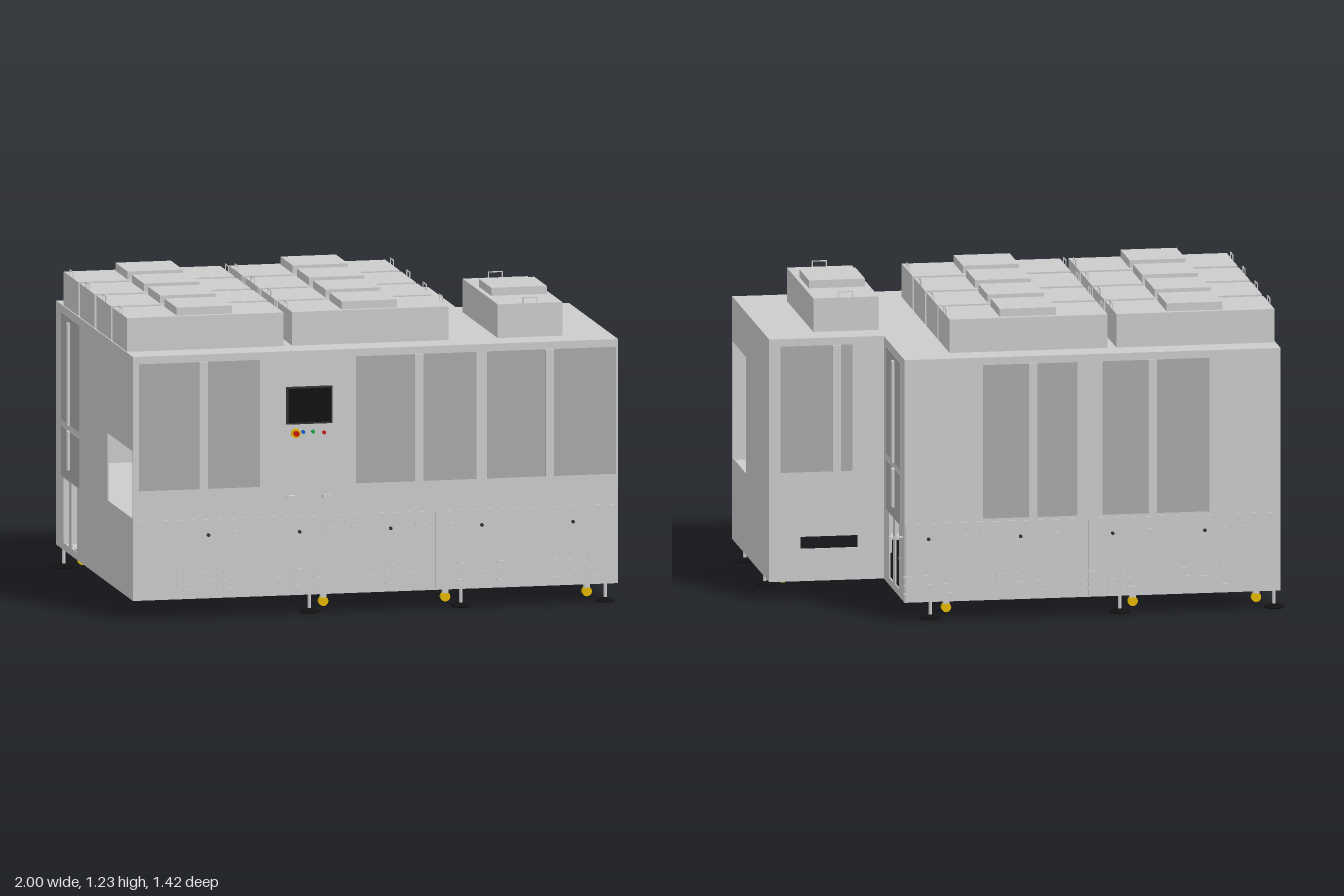
import * as THREE from 'three';

const mat = (color) => new THREE.MeshStandardMaterial({ color });
const grey = mat(0xcccccc), panelGrey = mat(0xaaaaaa), black = mat(0x111111), dark = mat(0x333333);
const yellow = mat(0xe6b800), red = mat(0xcc1111), green = mat(0x11aa44), blue = mat(0x1155cc);
const T = 0.006; // sheet thickness
const Y0 = 0.08, Y1 = 1.06, X0 = -0.975, X1 = 0.995, XS = 0.535, Z0 = -0.7, Z1 = 0.69, ZS = -0.2;

export function createModel() {
  const root = new THREE.Group();

  const add = (parent, name, geo, m, x = 0, y = 0, z = 0) => {
    const mesh = new THREE.Mesh(geo, m);
    mesh.name = name;
    mesh.position.set(x, y, z);
    parent.add(mesh);
    return mesh;
  };
  // Box given by its min and max on each axis
  const box = (name, x0, x1, y0, y1, z0, z1, m = grey, parent = root) =>
    add(parent, name, new THREE.BoxGeometry(x1 - x0, y1 - y0, z1 - z0), m,
      (x0 + x1) / 2, (y0 + y1) / 2, (z0 + z1) / 2);

  // Sheet with rectangular holes, each [u0, u1, v0, v1]
  const sheet = (u0, u1, v0, v1, holes = []) => {
    const rect = (P, a, b, c, d) => {
      const p = new P();
      p.moveTo(a, c); p.lineTo(b, c); p.lineTo(b, d); p.lineTo(a, d); p.closePath();
      return p;
    };
    const s = rect(THREE.Shape, u0, u1, v0, v1);
    for (const h of holes) s.holes.push(rect(THREE.Path, ...h));
    return new THREE.ExtrudeGeometry(s, { depth: T, bevelEnabled: false });
  };
  const wallZ = (name, z, x0, x1, holes) => add(root, name, sheet(x0, x1, Y0, Y1, holes), grey, 0, 0, z);
  const wallX = (name, x, z0, z1, holes) => {
    add(root, name, sheet(z0, z1, Y0, Y1, holes), grey, x, 0, 0).rotation.y = -Math.PI / 2;
  };

  // Hollow L-shaped cabinet, open underneath
  const slots = [[-0.425, -0.325, 0.11, 0.37], [-0.565, -0.465, 0.11, 0.37]];
  wallZ('frontWall', Z1 - T, X0, X1);
  wallZ('backWall', Z0, X0, XS);
  wallZ('stepBackWall', ZS, XS, X1, [[0.64, 0.87, 0.21, 0.36]]);
  wallX('leftWall', X1, ZS, Z1, [[0.36, 0.68, 0.41, 0.88]]);
  wallX('stepSideWall', XS, Z0, ZS, slots);
  wallX('rightWall', X0 + T, Z0, Z1, [...slots, [0.23, 0.68, 0.41, 0.68]]);
  const plan = new THREE.Shape([[X0, -Z1], [X1, -Z1], [X1, -ZS], [XS, -ZS], [XS, -Z0], [X0, -Z0]]
    .map(([x, y]) => new THREE.Vector2(x, y)));
  for (const [name, y] of [['roof', Y1 - T], ['innerFloor', 0.4 - T]]) {
    add(root, name, new THREE.ExtrudeGeometry(plan, { depth: T, bevelEnabled: false }), grey, 0, y, 0)
      .rotation.x = -Math.PI / 2;
  }

  // Door panels with a raised pull strip on front and back faces (dir = outward z)
  const doorZ = (name, x0, x1, y0, y1, strip, z, dir) => {
    const span = (d) => (dir > 0 ? [z, z + d] : [z - d, z]);
    box(name + 'Panel', x0, x1, y0, y1, ...span(0.002), panelGrey);
    box(name + 'Pull', strip - 0.017, strip + 0.017, y0, y1, ...span(0.013));
  };
  doorZ('frontDoorA', -0.95, -0.46, 0.52, 1.03, -0.69, Z1, 1);
  doorZ('frontDoorB', -0.07, 0.42, 0.52, 1.03, 0.185, Z1, 1);
  doorZ('frontDoorC', 0.465, 0.985, 0.52, 1.03, 0.715, Z1, 1);
  doorZ('backDoorA', -0.69, -0.26, 0.41, 1.03, -0.46, Z0, -1);
  doorZ('backDoorB', -0.16, 0.22, 0.41, 1.03, 0.02, Z0, -1);
  doorZ('stepDoor', 0.66, 0.95, 0.52, 1.03, 0.725, ZS, -1);

  // Two-part side doors above the slots
  for (const [x, dir] of [[XS, 1], [X0, -1]]) {
    const span = (d) => (dir > 0 ? [x, x + d] : [x - d, x]);
    for (const [y0, y1, s0, s1] of [[0.6, 1.03, 0.6, 1.01], [0.375, 0.575, 0.42, 0.575]]) {
      box('sideDoorPanel', ...span(0.002), y0, y1, -0.6, -0.27, panelGrey);
      box('sideDoorPull', ...span(0.012), s0, s1, -0.472, -0.438);
    }
  }

  // Lower access panels with knobs, vents and louvres
  const lowerPanels = (edges, z, dir) => {
    const span = (d) => (dir > 0 ? [z, z + d] : [z - d, z]);
    for (let i = 0; i + 1 < edges.length; i++) {
      box('lowerPanel', edges[i] + 0.002, edges[i + 1] - 0.002, 0.082, 0.398, ...span(0.004));
    }
    const n = dir > 0 ? 5 : 4;
    for (let i = 0; i < n; i++) {
      const cx = -0.67 + i * 0.37;
      const knob = add(root, 'panelKnob', new THREE.CylinderGeometry(0.007, 0.007, 0.01, 12), dark, cx, 0.335, z + dir * 0.006);
      knob.rotation.x = Math.PI / 2;
      for (const s of [-1, 1]) {
        box('ventSlot', cx + s * 0.13 - 0.028, cx + s * 0.13 + 0.028, 0.343, 0.35, ...span(0.007));
      }
      for (const dx of [-0.08, 0, 0.08]) for (const y of [0.115, 0.15, 0.185]) {
        box('louvre', cx + dx - 0.02, cx + dx + 0.02, y - 0.003, y + 0.003, ...span(0.008));
      }
    }
  };
  lowerPanels([X0, 0.25, X1], Z1, 1);
  lowerPanels([X0, -0.2, XS], Z0, -1);

  // Control screen, push buttons and small drawer
  box('screenFrame', -0.353, -0.167, 0.767, 0.917, Z1, Z1 + 0.01, dark);
  box('screen', -0.346, -0.174, 0.774, 0.91, Z1 + 0.01, Z1 + 0.012, black);
  const button = (name, x, y, r, depth, m) => {
    add(root, name, new THREE.CylinderGeometry(r, r, depth, 16), m, x, y, Z1 + depth / 2).rotation.x = Math.PI / 2;
  };
  button('emergencyCollar', -0.315, 0.73, 0.019, 0.008, yellow);
  button('emergencyButton', -0.315, 0.73, 0.011, 0.022, red);
  button('blueButton', -0.285, 0.735, 0.007, 0.012, blue);
  button('greenButton', -0.245, 0.735, 0.007, 0.012, green);
  button('redButton', -0.2, 0.73, 0.007, 0.012, red);
  box('drawerFront', -0.37, -0.155, 0.45, 0.56, Z1, Z1 + 0.002);
  for (const x of [-0.335, -0.19]) box('drawerHandle', x - 0.018, x + 0.018, 0.468, 0.482, Z1, Z1 + 0.018);

  // Wire loop handle standing on a roof unit
  const loop = (x, z, alongX) => {
    const g = new THREE.Group();
    g.name = 'liftHandle';
    g.position.set(x, 1.195, z);
    if (!alongX) g.rotation.y = Math.PI / 2;
    for (const s of [-1, 1]) box('handlePost', s * 0.028 - 0.002, s * 0.028 + 0.002, -0.02, 0.025, -0.002, 0.002, grey, g);
    box('handleBar', -0.03, 0.03, 0.021, 0.025, -0.002, 0.002, grey, g);
    root.add(g);
  };

  // Roof fan units in two columns of four
  for (const x of [-0.97, -0.3]) {
    for (const z of [-0.585, -0.29, 0.005, 0.3]) {
      box('fanUnit', x, x + 0.635, Y1, 1.195, z, z + 0.263);
      box('fanCap', x + 0.205, x + 0.43, 1.195, 1.227, z + 0.022, z + 0.242);
      loop(x + 0.002, z + 0.132, false);
      loop(x + 0.633, z + 0.132, false);
    }
  }
  box('sideFanUnit', 0.535, 0.797, Y1, 1.195, -0.075, 0.56);
  box('sideFanCap', 0.555, 0.78, 1.195, 1.227, 0.13, 0.355);
  loop(0.667, -0.073, true);
  loop(0.667, 0.558, true);

  // Levelling feet [x, z], each paired with a castor at [cx, cz]
  const feet = [
    [0.955, 0.63, 0.89, 0.585], [0.37, 0.63, 0.315, 0.585], [-0.245, 0.63, -0.18, 0.585],
    [0.955, 0.15, 0.89, 0.11], [0.37, 0.15, 0.315, 0.11], [-0.245, 0.15, -0.18, 0.11],
    [0.42, -0.11, 0.35, -0.16], [-0.245, -0.11, -0.18, -0.16],
    [0.42, -0.63, 0.35, -0.585], [-0.34, -0.63, -0.4, -0.585], [-0.96, -0.63, -0.895, -0.585],
  ];
  const padProfile = [[0, 0], [0.04, 0], [0.04, 0.005], [0.012, 0.016], [0, 0.016]].map(([x, y]) => new THREE.Vector2(x, y));
  for (const [x, z, cx, cz] of feet) {
    const g = new THREE.Group();
    g.name = 'supportFoot';
    root.add(g);
    const mx = (x + cx) / 2, mz = (z + cz) / 2;
    box('mountPlate', Math.max(mx - 0.07, X0 + T), Math.min(mx + 0.07, X1 - T), 0.08, 0.087, mz - 0.05, mz + 0.05, grey, g);
    add(g, 'footPad', new THREE.LatheGeometry(padProfile, 16), black, x, 0, z);
    add(g, 'footStem', new THREE.CylinderGeometry(0.007, 0.007, 0.075, 10), grey, x, 0.05, z);
    box('castorBracket', cx - 0.012, cx + 0.012, 0.05, 0.08, cz - 0.012, cz + 0.012, grey, g);
    add(g, 'castorWheel', new THREE.CylinderGeometry(0.02, 0.02, 0.02, 12), yellow, cx, 0.035, cz).rotation.x = Math.PI / 2;
  }
  return root;
}
